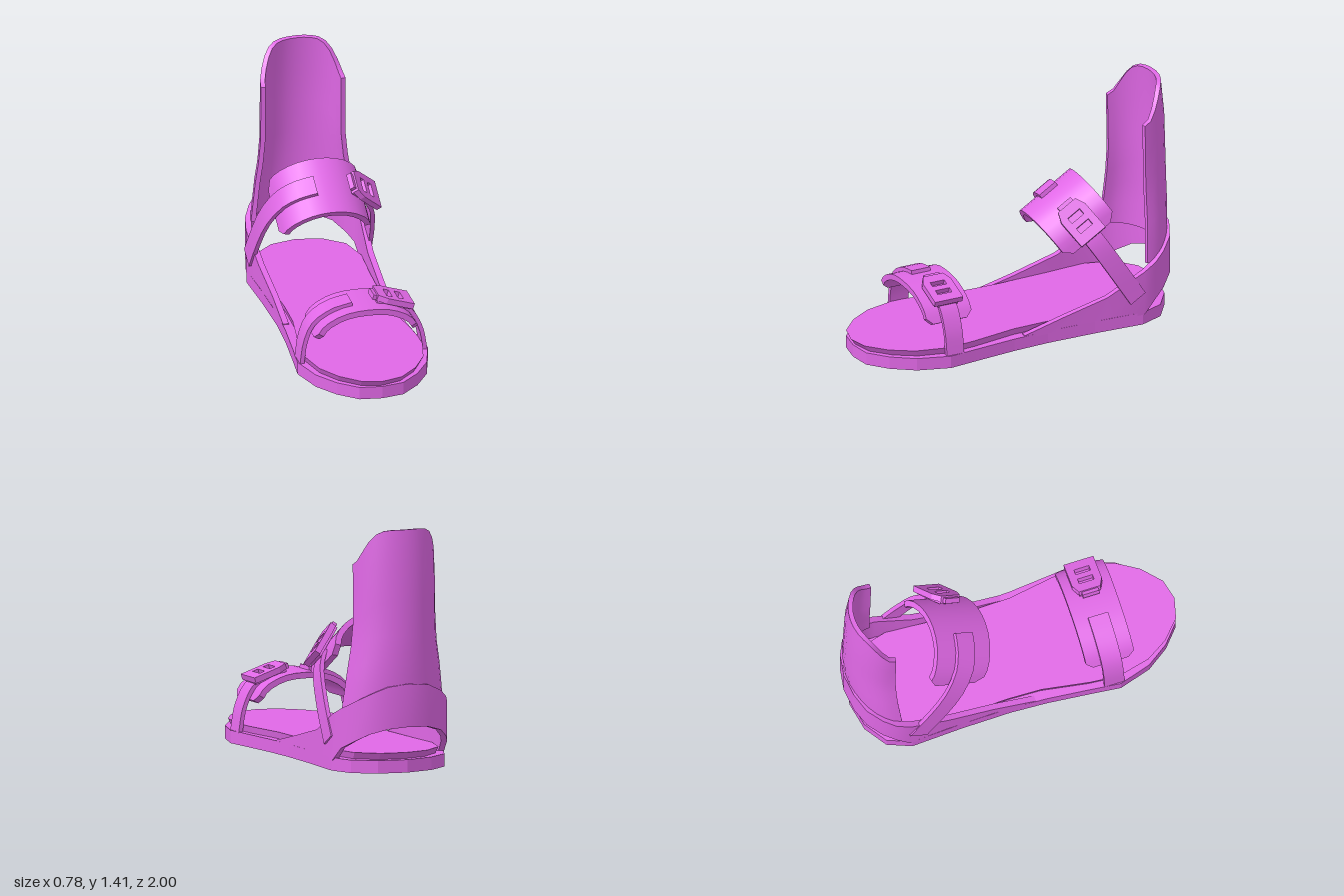
import * as THREE from 'three';
import { toCreasedNormals } from 'three/addons/utils/BufferGeometryUtils.js';

const material = new THREE.MeshStandardMaterial({ color: 0xe068e6, side: THREE.DoubleSide });
const V = (x, y, z) => new THREE.Vector3(x, y, z);

function add(parent, name, geometry) {
  const mesh = new THREE.Mesh(geometry, material);
  mesh.name = name;
  parent.add(mesh);
  return mesh;
}

// Solid sheet: grid[i][j] is the outer face, thickened inwards along its normals
function sheet(grid, thickness) {
  const m = grid.length - 1, n = grid[0].length - 1;
  const inner = grid.map((row, i) => row.map((p, j) => {
    const du = grid[Math.min(i + 1, m)][j].clone().sub(grid[Math.max(i - 1, 0)][j]);
    const dv = row[Math.min(j + 1, n)].clone().sub(row[Math.max(j - 1, 0)]);
    return p.clone().addScaledVector(du.cross(dv).normalize(), -thickness);
  }));
  const pos = [];
  const quad = (a, b, c, d) => [a, b, c, a, c, d].forEach(p => pos.push(p.x, p.y, p.z));
  for (let i = 0; i < m; i++) {
    for (let j = 0; j < n; j++) {
      quad(grid[i][j], grid[i + 1][j], grid[i + 1][j + 1], grid[i][j + 1]);
      quad(inner[i][j], inner[i][j + 1], inner[i + 1][j + 1], inner[i + 1][j]);
    }
    quad(inner[i][0], inner[i + 1][0], grid[i + 1][0], grid[i][0]);
    quad(grid[i][n], grid[i + 1][n], inner[i + 1][n], inner[i][n]);
  }
  for (let j = 0; j < n; j++) {
    quad(grid[0][j], grid[0][j + 1], inner[0][j + 1], inner[0][j]);
    quad(inner[m][j], inner[m][j + 1], grid[m][j + 1], grid[m][j]);
  }
  const g = new THREE.BufferGeometry();
  g.setAttribute('position', new THREE.Float32BufferAttribute(pos, 3));
  return toCreasedNormals(g, 0.6);
}

// Strap running from -x to +x over a smoothed path; width may vary along it
function strap(path, width, thickness, steps = 10) {
  const curve = new THREE.CatmullRomCurve3(path.map(([x, y]) => V(x, y, 0)));
  const grid = curve.getPoints(steps).map((p, i) => {
    const w = typeof width === 'function' ? width(i / steps) : width;
    return [V(p.x, p.y, w / 2), V(p.x, p.y, -w / 2)];
  });
  return sheet(grid, thickness);
}

const mirrorPath = half => [...half, ...half.slice(0, -1).reverse().map(([x, y]) => [-x, y])];

// Flat slab from a half outline of [x, z] points, standing on y = 0
function slab(half, height) {
  const outline = [...half, ...half.slice(1, -1).reverse().map(([x, z]) => [-x, z])];
  const shape = new THREE.Shape(outline.map(([x, z]) => new THREE.Vector2(x, -z)));
  const g = new THREE.ExtrudeGeometry(shape, { depth: height, bevelEnabled: false });
  return g.rotateX(-Math.PI / 2);
}

// Tapered ratchet buckle with two slots and a raised lever
function buckle(length, width) {
  const group = new THREE.Group();
  group.name = 'buckle';
  const l = length / 2, w = width / 2;
  const shape = new THREE.Shape([
    [-l, -w * 0.72], [-l * 0.5, -w], [l, -w], [l, w], [-l * 0.5, w], [-l, w * 0.72],
  ].map(p => new THREE.Vector2(...p)));
  for (const x of [-l * 0.32, l * 0.32]) {
    const a = l * 0.16, b = w * 0.5;
    shape.holes.push(new THREE.Path([[x - a, -b], [x - a, b], [x + a, b], [x + a, -b]]
      .map(p => new THREE.Vector2(...p))));
  }
  const g = new THREE.ExtrudeGeometry(shape, { depth: 0.035, bevelEnabled: false });
  add(group, 'buckleFrame', g.rotateX(-Math.PI / 2));
  const base = add(group, 'buckleBase', new THREE.BoxGeometry(length * 0.95, 0.02, width * 0.7));
  base.position.y = -0.005;
  const tab = add(group, 'buckleTab', new THREE.BoxGeometry(length * 0.2, 0.03, width * 0.55));
  tab.position.set(-l, 0.01, 0);
  return group;
}

// Padded strap with a band on each side and a buckle on the left
function strapAssembly(name, o) {
  const group = new THREE.Group();
  group.name = name;
  const padWidth = t => o.padWidth * (t < 0.01 || t > 0.99 ? 0.74 : 1);
  add(group, 'pad', strap(mirrorPath(o.pad), padWidth, 0.035, 14));
  add(group, 'rightBand', strap(o.right, 0.12, 0.025));
  add(group, 'leftBand', strap(o.left, 0.11, 0.025));
  const b = buckle(o.buckleLength, 0.18);
  b.position.set(...o.bucklePos, 0);
  b.rotation.z = o.buckleTilt;
  group.add(b);
  return group;
}

function highback() {
  // [height, half width, z at the back, z at the side edges]
  const profile = [
    [0.36, 0.315, -0.98, -0.75], [0.6, 0.285, -0.993, -0.765], [0.8, 0.252, -0.993, -0.77],
    [1.2, 0.252, -0.98, -0.765], [1.41, 0.24, -0.96, -0.755],
  ];
  const at = y => {
    let k = 0;
    while (k < profile.length - 2 && y > profile[k + 1][0]) k++;
    const a = profile[k], b = profile[k + 1], t = (y - a[0]) / (b[0] - a[0]);
    return a.map((v, i) => THREE.MathUtils.lerp(v, b[i], t));
  };
  const grid = [];
  for (let i = 0; i <= 16; i++) {
    const a = (0.5 - i / 16) * Math.PI, s = Math.sin(a);
    const top = 1.41 - 0.21 * Math.abs(s) ** 6;
    grid.push([0, 0.15, 0.28, 0.42, 0.6, 0.8, 1].map(t => {
      const [y, w, back, edge] = at(THREE.MathUtils.lerp(0.36, top, t));
      return V(w * s, y, THREE.MathUtils.lerp(edge, back, Math.cos(a)));
    }));
  }
  return sheet(grid, 0.028);
}

export function createModel() {
  const model = new THREE.Group();
  model.name = 'binding';

  // Base plate
  add(model, 'basePlate', slab([
    [0, 0.985], [0.13, 0.965], [0.24, 0.87], [0.33, 0.74], [0.388, 0.55], [0.37, 0.38], [0.345, 0.12],
    [0.335, -0.1], [0.34, -0.4], [0.355, -0.7], [0.3, -0.84], [0.17, -0.93], [0, -0.965],
  ], 0.075));

  // Footbed, flaring outwards towards its top
  const bed = slab([
    [0, 1], [0.12, 0.97], [0.23, 0.87], [0.31, 0.74], [0.355, 0.55], [0.34, 0.38], [0.295, 0.1],
    [0.29, -0.1], [0.3, -0.4], [0.315, -0.65], [0.27, -0.82], [0.15, -0.92], [0, -0.95],
  ], 0.045);
  const p = bed.attributes.position;
  for (let i = 0; i < p.count; i++) {
    const k = p.getY(i) > 0.02 ? 1 : 0.965;
    p.setXYZ(i, p.getX(i) * k, p.getY(i), p.getZ(i) * k);
  }
  bed.computeVertexNormals();
  add(model, 'footbed', bed).position.y = 0.07;

  // Side rails rising into the heel hoop: [x, z, bottom, top]
  const rail = [
    [0.34, 0.05, 0.06, 0.08], [0.335, -0.2, 0.06, 0.14], [0.342, -0.48, 0.06, 0.21],
    [0.356, -0.71, 0.06, 0.33], [0.34, -0.79, 0.14, 0.37], [0.3, -0.86, 0.18, 0.41],
    [0.23, -0.935, 0.23, 0.46], [0.13, -0.98, 0.26, 0.505], [0, -1, 0.27, 0.52],
  ];
  const stations = [...rail, ...rail.slice(0, -1).reverse().map(([x, ...r]) => [-x, ...r])];
  add(model, 'heelHoop', sheet(stations.map(([x, z, lo, hi]) => [V(x, lo, z), V(x, hi, z)]), 0.035));

  add(model, 'highback', highback());

  const toe = strapAssembly('toeStrap', {
    padWidth: 0.29,
    pad: [[-0.31, -0.15], [-0.26, -0.075], [-0.14, -0.015], [0, 0]],
    right: [[-0.38, -0.34], [-0.36, -0.2], [-0.31, -0.085], [-0.2, -0.01], [-0.07, 0.02]],
    left: [[0.24, -0.03], [0.3, -0.085], [0.355, -0.2], [0.38, -0.34]],
    buckleLength: 0.22, bucklePos: [0.18, -0.02], buckleTilt: -0.32,
  });
  toe.position.set(0, 0.41, 0.515);

  const ankle = strapAssembly('ankleStrap', {
    padWidth: 0.375,
    pad: [[-0.27, -0.22], [-0.235, -0.12], [-0.13, -0.03], [0, 0]],
    right: [[-0.365, -0.69], [-0.35, -0.45], [-0.32, -0.25], [-0.25, -0.09], [-0.16, -0.015], [-0.055, 0.02]],
    left: [[0.27, -0.14], [0.32, -0.25], [0.35, -0.45], [0.365, -0.69]],
    buckleLength: 0.24, bucklePos: [0.24, -0.1], buckleTilt: -0.85,
  });
  ankle.position.set(0, 0.76, -0.3);
  ankle.rotation.x = 0.558;

  model.add(toe, ankle);
  return model;
}
